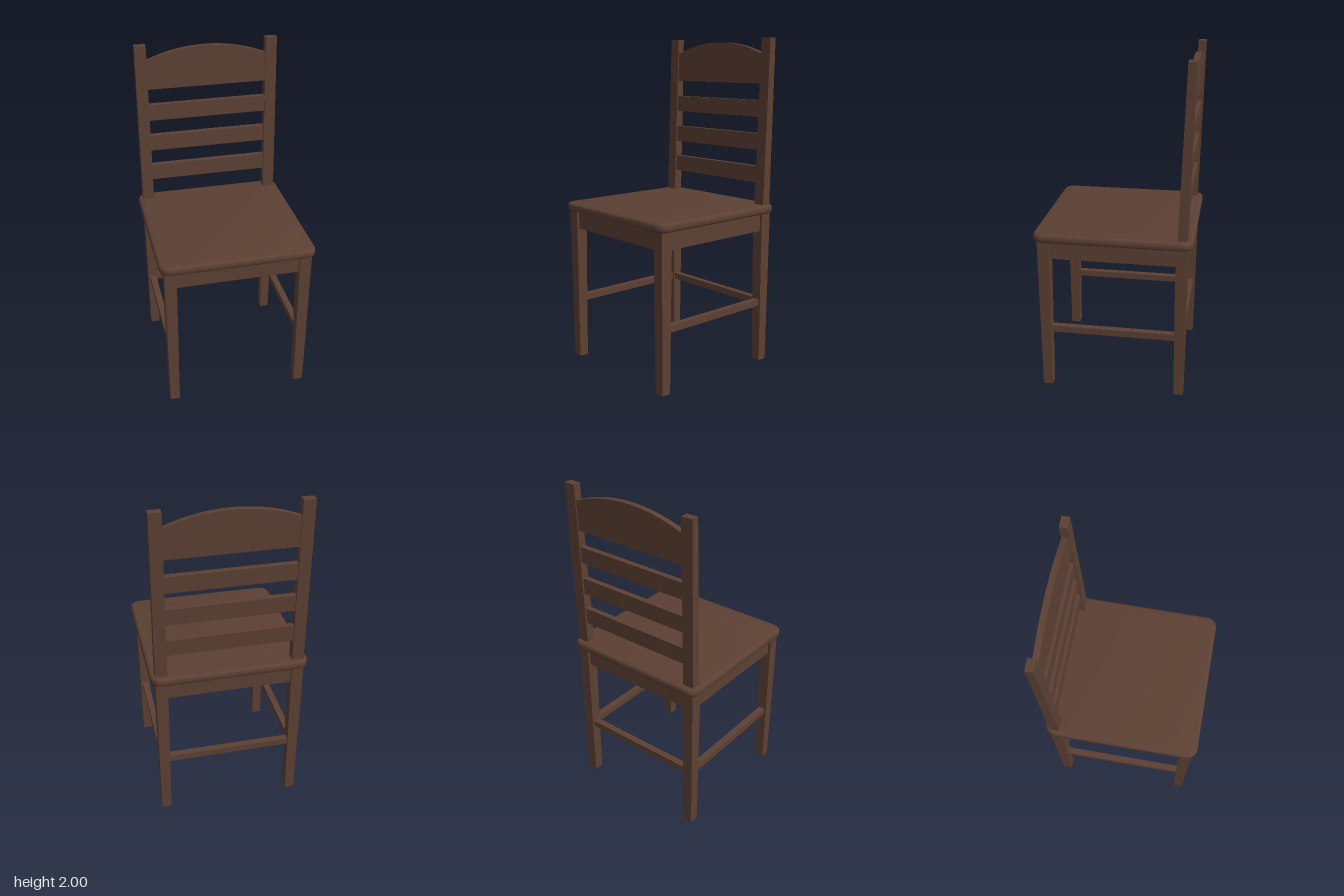
import * as THREE from 'three';
import { toCreasedNormals } from 'three/addons/utils/BufferGeometryUtils.js';

export function createModel() {
  const chair = new THREE.Group();
  chair.name = 'chair';
  const wood = new THREE.MeshStandardMaterial({ color: 0x5c4033 });
  wood.name = 'darkWood';

  function add(name, geometry, x = 0, y = 0, z = 0) {
    const mesh = new THREE.Mesh(geometry, wood);
    mesh.name = name;
    mesh.position.set(x, y, z);
    chair.add(mesh);
    return mesh;
  }

  // Move vertices by a rule acting on each point
  function reshape(geometry, rule) {
    const p = geometry.attributes.position;
    const v = new THREE.Vector3();
    for (let i = 0; i < p.count; i++) {
      rule(v.fromBufferAttribute(p, i));
      p.setXYZ(i, v.x, v.y, v.z);
    }
    geometry.computeVertexNormals();
    return geometry;
  }

  // Backward lean of the chair back
  const lean = (y) => -0.4035 - 0.0265 * (y - 1);
  const leanBack = (v) => { v.z += lean(v.y); };

  // Seat: rounded square slab with a rounded rim
  const bevel = 0.02, half = 0.465 - bevel, r = 0.045;
  const outline = new THREE.Shape();
  outline.absarc(half - r, half - r, r, 0, Math.PI / 2);
  outline.absarc(-half + r, half - r, r, Math.PI / 2, Math.PI);
  outline.absarc(-half + r, -half + r, r, Math.PI, Math.PI * 1.5);
  outline.absarc(half - r, -half + r, r, Math.PI * 1.5, Math.PI * 2);
  const seat = new THREE.ExtrudeGeometry(outline, {
    depth: 0.053 - 2 * bevel, bevelThickness: bevel, bevelSize: bevel,
    bevelSegments: 5, curveSegments: 8,
  });
  seat.rotateX(-Math.PI / 2);
  add('seat', toCreasedNormals(seat, 0.7), 0, 0.947 + bevel, 0);

  // Tapered legs and leaning back posts
  for (const side of [1, -1]) {
    const label = side > 0 ? 'left' : 'right';
    for (const end of [1, -1]) {
      const leg = reshape(new THREE.BoxGeometry(0.072, 0.95, 0.072), (v) => {
        const k = v.y < 0 ? 0.8 : 1;
        v.x *= k;
        v.z *= k;
      });
      add(label + (end > 0 ? 'FrontLeg' : 'BackLeg'), leg, side * 0.402, 0.475, end * 0.402);
    }
    const post = new THREE.BoxGeometry(0.07, 1.02, 0.057).translate(0, 1.49, 0);
    add(label + 'BackPost', reshape(post, (v) => {
      if (v.y > 1.9) v.z *= 0.81;
      leanBack(v);
    }), side * 0.402);

    // Side apron and stretcher
    add(label + 'Apron', new THREE.BoxGeometry(0.04, 0.11, 0.74), side * 0.402, 0.893, 0);
    add(label + 'Stretcher', new THREE.BoxGeometry(0.04, 0.04, 0.75), side * 0.402, 0.38, 0);
  }

  // Front and back aprons, back stretcher
  add('frontApron', new THREE.BoxGeometry(0.74, 0.11, 0.04), 0, 0.893, 0.402);
  add('backApron', new THREE.BoxGeometry(0.74, 0.11, 0.04), 0, 0.893, -0.402);
  add('backStretcher', new THREE.BoxGeometry(0.75, 0.04, 0.04), 0, 0.38, -0.402);

  // Three leaning slats
  for (const y of [1.18, 1.38, 1.58]) {
    add('backSlat', reshape(new THREE.BoxGeometry(0.74, 0.1, 0.034).translate(0, y, 0), leanBack));
  }

  // Arched top rail
  const w = 0.37, low = 1.905, rise = 0.073;
  const radius = (w * w + rise * rise) / (2 * rise);
  const angle = Math.asin(w / radius);
  const arch = new THREE.Shape();
  arch.moveTo(-w, 1.73);
  arch.lineTo(w, 1.73);
  arch.absarc(0, low + rise - radius, radius, Math.PI / 2 - angle, Math.PI / 2 + angle, false);
  arch.closePath();
  const rail = new THREE.ExtrudeGeometry(arch, { depth: 0.034, bevelEnabled: false, curveSegments: 24 });
  rail.translate(0, 0, -0.017);
  add('topRail', toCreasedNormals(reshape(rail, leanBack), 0.5));

  return chair;
}
